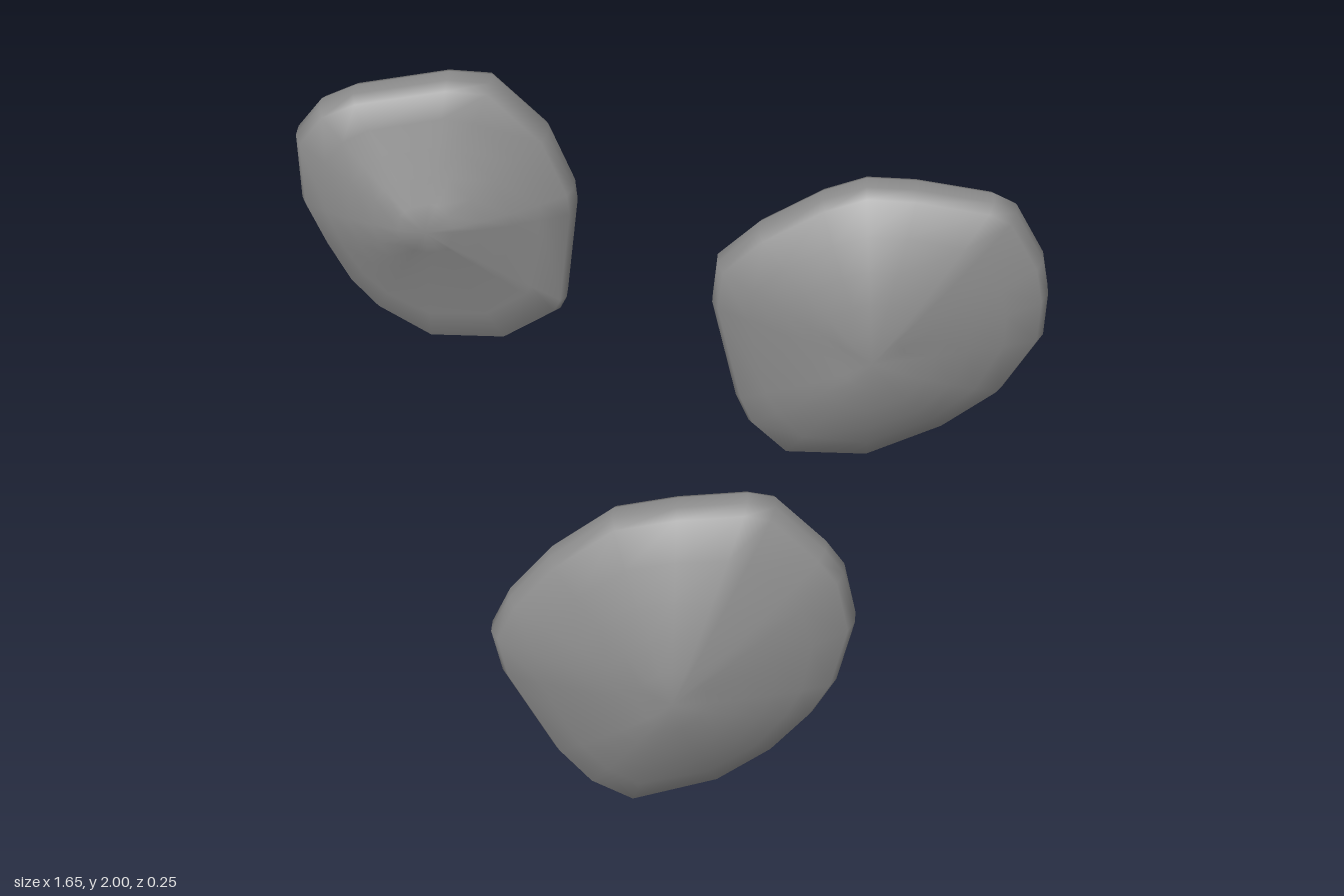
import * as THREE from 'three';

// Each stone: outline (x, y) clockwise from the front, peak of the domed face, flat back depth,
// and how full the dome is sideways and vertically (1 is straight, more is rounder)
const STONES = [
  {
    name: 'lowerStone', peak: [0, 0.44, 0.125], back: -0.123, side: 1.1, vertical: 1.6,
    outline: [[-.445, .5], [-.4, .6], [-.3, .725], [-.15, .845], [0, .88], [.165, .9], [.23, .89], [.35, .77], [.395, .705],
      [.425, .565], [.385, .39], [.33, .29], [.24, .18], [.105, .075], [-.11, 0], [-.215, .055], [-.295, .15], [-.42, .385]],
  },
  {
    name: 'rightStone', peak: [0.44, 1.4, 0.102], back: -0.113, side: 1.1, vertical: 1.9,
    outline: [[.09, 1.555], [.18, 1.64], [.32, 1.725], [.415, 1.76], [.525, 1.757], [.695, 1.73], [.745, 1.705], [.81, 1.585],
      [.825, 1.5], [.82, 1.395], [.735, 1.25], [.61, 1.15], [.435, 1.063], [.245, 1.063], [.165, 1.14], [.135, 1.21], [.08, 1.455]],
  },
  {
    name: 'upperStone', peak: [-0.54, 1.69, 0.08], back: -0.107, side: 1.6, vertical: 0.9,
    outline: [[-.83, 1.855], [-.775, 1.925], [-.7, 1.96], [-.495, 2], [-.4, 1.995], [-.28, 1.875], [-.225, 1.74], [-.22, 1.69],
      [-.245, 1.46], [-.26, 1.43], [-.38, 1.355], [-.55, 1.355], [-.67, 1.43], [-.73, 1.5], [-.78, 1.595], [-.825, 1.7]],
  },
];

function buildStone({ name, peak, back, side, vertical, outline }, material) {
  const [px, py, pz] = peak;
  const n = outline.length;
  const spokes = outline.map(([x, y]) => ({ x: x - px, y: y - py, r: Math.hypot(x - px, y - py) }));
  const meanR = spokes.reduce((sum, s) => sum + s.r, 0) / n;

  // Flat back, then the rounded rim
  const positions = [px, py, back];
  const rimFront = back + 0.092;
  for (const [s, z] of [[0.88, back], [0.975, back], [1, back + 0.022], [1, back + 0.062], [0.96, rimFront]]) {
    for (const { x, y } of spokes) positions.push(px + x * s, py + y * s, z);
  }

  // Dome: rings grow rounder towards the peak
  const domeSteps = [0.8, 0.6, 0.4, 0.2];
  for (const t of domeSteps) {
    for (const { x, y, r } of spokes) {
      const s = 0.96 * t * THREE.MathUtils.lerp(meanR / r, 1, t);
      const power = THREE.MathUtils.lerp(vertical, side, (x / r) ** 2);
      positions.push(px + x * s, py + y * s, pz - (pz - rimFront) * t ** power);
    }
  }
  positions.push(...peak);

  // Join the rings and close both ends
  const rings = 5 + domeSteps.length;
  const tip = 1 + rings * n;
  const index = [];
  for (let i = 0; i < n; i++) {
    const j = (i + 1) % n;
    index.push(0, 1 + i, 1 + j);
    for (let r = 0; r < rings - 1; r++) {
      const a = 1 + r * n + i, b = 1 + r * n + j;
      index.push(a, a + n, b, b, a + n, b + n);
    }
    index.push(tip - n + i, tip, tip - n + j);
  }

  const geometry = new THREE.BufferGeometry();
  geometry.setAttribute('position', new THREE.Float32BufferAttribute(positions, 3));
  geometry.setIndex(index);
  geometry.computeVertexNormals();
  const stone = new THREE.Mesh(geometry, material);
  stone.name = name;
  return stone;
}

export function createModel() {
  const model = new THREE.Group();
  model.name = 'wallStones';
  const material = new THREE.MeshStandardMaterial({ color: 0x8c8c8c });
  for (const spec of STONES) model.add(buildStone(spec, material));
  return model;
}
